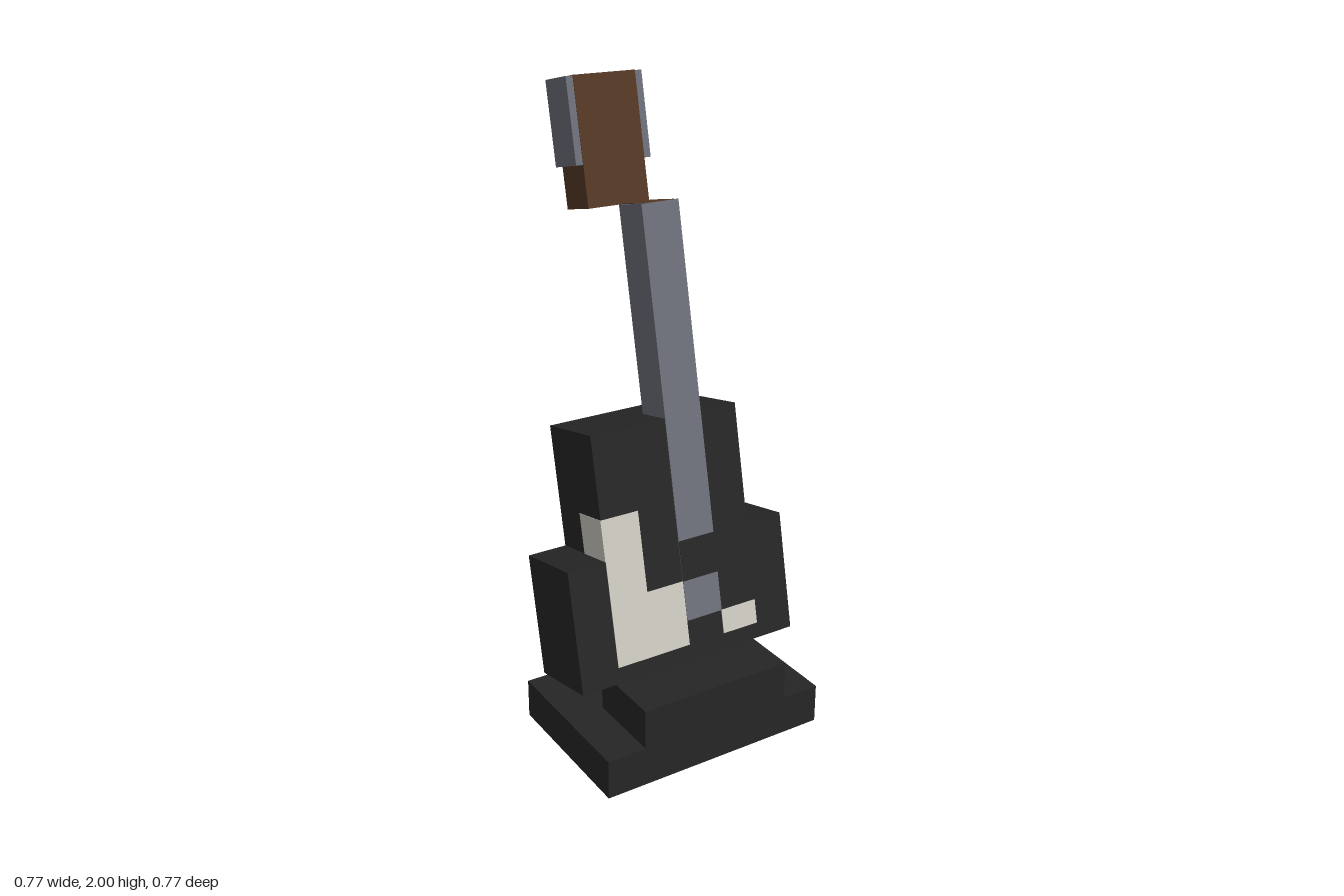
import * as THREE from 'three';

const U = 0.128; // one grid unit

const material = (name, color) => {
  const m = new THREE.MeshStandardMaterial({ color });
  m.name = name;
  return m;
};

// Box given by its min and max corners
function block(parent, name, mat, [x0, y0, z0], [x1, y1, z1]) {
  const mesh = new THREE.Mesh(new THREE.BoxGeometry(x1 - x0, y1 - y0, z1 - z0), mat);
  mesh.position.set((x0 + x1) / 2, (y0 + y1) / 2, (z0 + z1) / 2);
  mesh.name = name;
  parent.add(mesh);
  return mesh;
}

export function createModel() {
  const black = material('black', 0x262626);
  const grey = material('steel grey', 0x6c6f78);
  const brown = material('brown wood', 0x553925);
  const white = material('off white', 0xcccac0);

  const model = new THREE.Group();
  model.name = 'guitarOnStand';

  // Stand: base slab, front step and rear post
  const stand = new THREE.Group();
  stand.name = 'stand';
  model.add(stand);
  block(stand, 'base', black, [-3 * U, 0, -U], [3 * U, U, 3 * U]);
  block(stand, 'frontStep', black, [-2 * U, U, U], [2 * U, 2 * U, 3 * U]);
  block(stand, 'rearPost', black, [0, U, -2 * U], [U, 7 * U, -U]);

  // Guitar leans back; its origin is the lower front edge of the body
  const guitar = new THREE.Group();
  guitar.name = 'guitar';
  guitar.position.set(0, 0.275, 0.24);
  guitar.rotation.x = THREE.MathUtils.degToRad(-12);
  model.add(guitar);

  block(guitar, 'lowerBody', black, [-3 * U, 0, -2 * U], [3 * U, 3 * U, 0]);
  block(guitar, 'upperBody', black, [-2 * U, 3 * U, -2 * U], [2 * U, 6 * U, 0]);

  // Pickguard plates, nearly flush with the body front
  const T = 0.0015;
  const low = 0.05;
  block(guitar, 'pickguardOuter', white, [-2 * U, low, -T], [-U, 4 * U, T]);
  block(guitar, 'pickguardInner', white, [-U, low, -T], [0, 2 * U, T]);
  block(guitar, 'pickguardCorner', white, [U, low, -T], [2 * U, U, T]);
  block(guitar, 'pickguardSide', white, [-2 * U - T, 3 * U, -U], [-2 * U + T, 4 * U, T]);

  // Neck: grey fingerboard with a narrower wooden back and end
  block(guitar, 'neck', grey, [0, U, -U], [U, 11 * U, 2 * T]);
  block(guitar, 'neckWood', brown, [0.012, U, -U - T], [U - 0.012, 11 * U + T, -0.002]);
  block(guitar, 'pickup', black, [0, 2 * U, 0], [U, 3 * U, 3 * T]);

  // Headstock: wooden core between grey tuner blocks
  block(guitar, 'headstock', brown, [-0.105, 11 * U, -2 * U - T], [0.105, 14 * U + T, -U + T]);
  block(guitar, 'tuners', grey, [-U, 12 * U, -2 * U], [U, 14 * U, -U]);

  return model;
}
